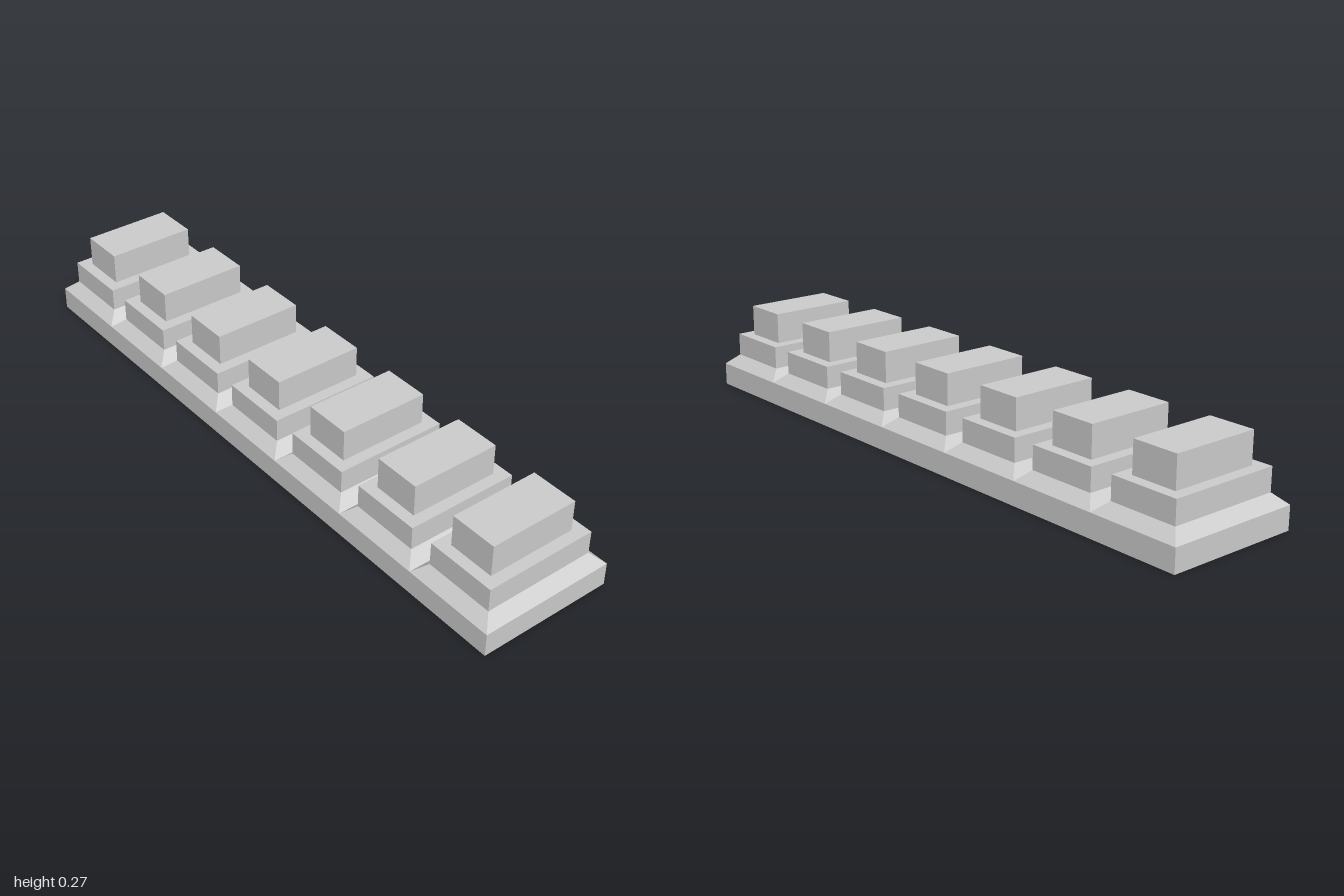
import * as THREE from 'three';

const COUNT = 7;
const PITCH = 2 / COUNT;
const DEPTH = 0.42;
const INSET = 0.0355;

const material = new THREE.MeshStandardMaterial({ color: 0xcccccc, flatShading: true });

// Box standing on y0; its top can be drawn in by an equal inset on all sides
function block(name, width, depth, y0, y1, inset = 0) {
  const geometry = new THREE.BoxGeometry(width, y1 - y0, depth);
  geometry.translate(0, (y0 + y1) / 2, 0);
  if (inset) {
    const p = geometry.attributes.position;
    const middle = (y0 + y1) / 2;
    for (let i = 0; i < p.count; i++) {
      if (p.getY(i) < middle) continue;
      p.setX(i, p.getX(i) - Math.sign(p.getX(i)) * inset);
      p.setZ(i, p.getZ(i) - Math.sign(p.getZ(i)) * inset);
    }
    geometry.computeVertexNormals();
  }
  const mesh = new THREE.Mesh(geometry, material);
  mesh.name = name;
  return mesh;
}

export function createModel() {
  const model = new THREE.Group();
  model.name = 'steppedBlockRow';

  // Shared slab
  model.add(block('baseSlab', 2, DEPTH, 0, 0.07));

  // Row of stepped blocks: sloped foot, middle step, top block
  for (let i = 0; i < COUNT; i++) {
    const unit = new THREE.Group();
    unit.name = `steppedBlock${i + 1}`;
    unit.add(
      block('slopedFoot', PITCH, DEPTH, 0.07, 0.102, INSET),
      block('middleStep', PITCH - 2 * INSET, DEPTH - 2 * INSET, 0.102, 0.172),
      block('topBlock', PITCH - 4 * INSET, DEPTH - 4 * INSET, 0.172, 0.267)
    );
    unit.position.x = (i - (COUNT - 1) / 2) * PITCH;
    model.add(unit);
  }
  return model;
}
